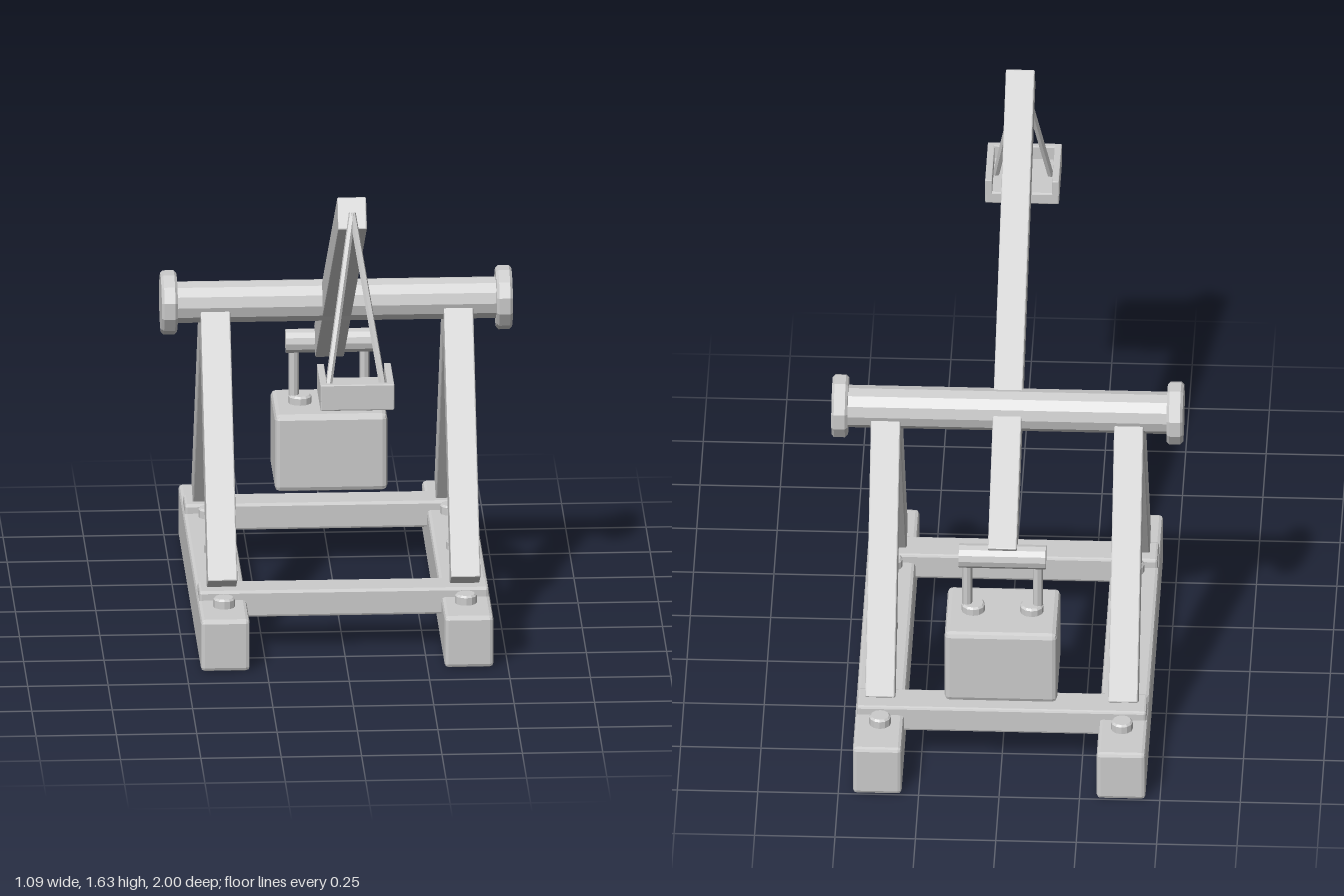
import * as THREE from 'three';
import { RoundedBoxGeometry } from 'three/addons/geometries/RoundedBoxGeometry.js';

const material = new THREE.MeshStandardMaterial({ color: 0xcccccc, flatShading: true });

export function createModel() {
  const model = new THREE.Group();
  model.name = 'trebuchet';

  const add = (name, geometry, x = 0, y = 0, z = 0) => {
    const mesh = new THREE.Mesh(geometry, material);
    mesh.name = name;
    mesh.position.set(x, y, z);
    model.add(mesh);
    return mesh;
  };

  // Box with chamfered edges, given by its extents
  const block = (name, x0, x1, y0, y1, z0, z1, bevel) => add(name,
    new RoundedBoxGeometry(x1 - x0, y1 - y0, z1 - z0, 1, bevel),
    (x0 + x1) / 2, (y0 + y1) / 2, (z0 + z1) / 2);

  // Stretch a y-aligned geometry's mesh between two points
  const aim = (mesh, a, b) => {
    mesh.position.copy(a).lerp(b, 0.5);
    mesh.quaternion.setFromUnitVectors(new THREE.Vector3(0, 1, 0), b.clone().sub(a).normalize());
    return mesh;
  };
  const beam = (name, a, b, width, thickness) =>
    aim(add(name, new RoundedBoxGeometry(width, a.distanceTo(b), thickness, 1, 0.004)), a, b);
  const rod = (name, a, b, radius, sides) =>
    aim(add(name, new THREE.CylinderGeometry(radius, radius, a.distanceTo(b), sides), 0, 0, 0), a, b);

  // Chamfered disc standing along y
  const disc = (radius, height, bevel, sides) => {
    const h = height / 2;
    return new THREE.LatheGeometry([
      [0, -h], [radius - bevel, -h], [radius, -h + bevel],
      [radius, h - bevel], [radius - bevel, h], [0, h],
    ].map(([r, y]) => new THREE.Vector2(r, y)), sides);
  };
  const V = (x, y, z) => new THREE.Vector3(x, y, z);

  const pivotZ = -0.305, pivotY = 0.985;

  for (const s of [-1, 1]) {
    // Ground rail with its bolts
    block('groundRail', s * 0.379 - 0.076, s * 0.379 + 0.076, 0, 0.167, -1, 0.385, 0.012);
    for (const z of [0.24, 0.055, -0.305, -0.665, -0.85])
      add('railBolt', disc(0.034, 0.04, 0.006, 12), s * 0.376, 0.177, z);

    // A-frame legs, mirrored about the pivot
    for (const d of [-1, 1])
      beam('frameLeg', V(s * 0.378, 0.212, pivotZ + d * 0.465), V(s * 0.378, 0.955, pivotZ + d * 0.017), 0.092, 0.095);

    // Axle end cap
    const cap = add('axleCap', disc(0.1, 0.05, 0.008, 12).rotateY(Math.PI / 12), s * 0.521, pivotY, pivotZ);
    cap.rotation.z = Math.PI / 2;

    // Counterweight hangers
    rod('hangerRod', V(s * 0.11, 0.51, -0.727), V(s * 0.11, 0.715, -0.727), 0.016, 8);
    add('hangerFoot', disc(0.037, 0.04, 0.006, 12), s * 0.091, 0.522, -0.727);

    // Sling rope
    rod('slingRope', V(0, 1.59, 0.685), V(s * 0.085, 1.085, 0.888), 0.011, 6);
    // Side wall of the sling tray
    block('trayWall', s * 0.104 - 0.011, s * 0.104 + 0.011, 1.075, 1.13, 0.78, 1, 0.003);
  }

  // Cross beams joining the rails
  for (const z of [0.127, -0.748])
    block('crossBeam', -0.45, 0.45, 0.11, 0.196, z - 0.055, z + 0.055, 0.008);

  // Axle
  rod('axle', V(-0.51, pivotY, pivotZ), V(0.51, pivotY, pivotZ), 0.066, 12);

  // Throwing arm
  beam('throwingArm', V(0, 0.714, -0.727), V(0, 1.585, 0.674), 0.09, 0.104);

  // Counterweight and its hinge bar
  rod('hingeBar', V(-0.135, 0.715, -0.729), V(0.135, 0.715, -0.729), 0.038, 12);
  block('counterweight', -0.175, 0.175, 0.265, 0.515, -0.87, -0.59, 0.016);

  // Sling tray floor and front wall, open towards the arm
  block('trayFloor', -0.115, 0.115, 1.045, 1.085, 0.78, 1, 0.005);
  block('trayWall', -0.115, 0.115, 1.075, 1.13, 0.978, 1, 0.003);

  return model;
}
